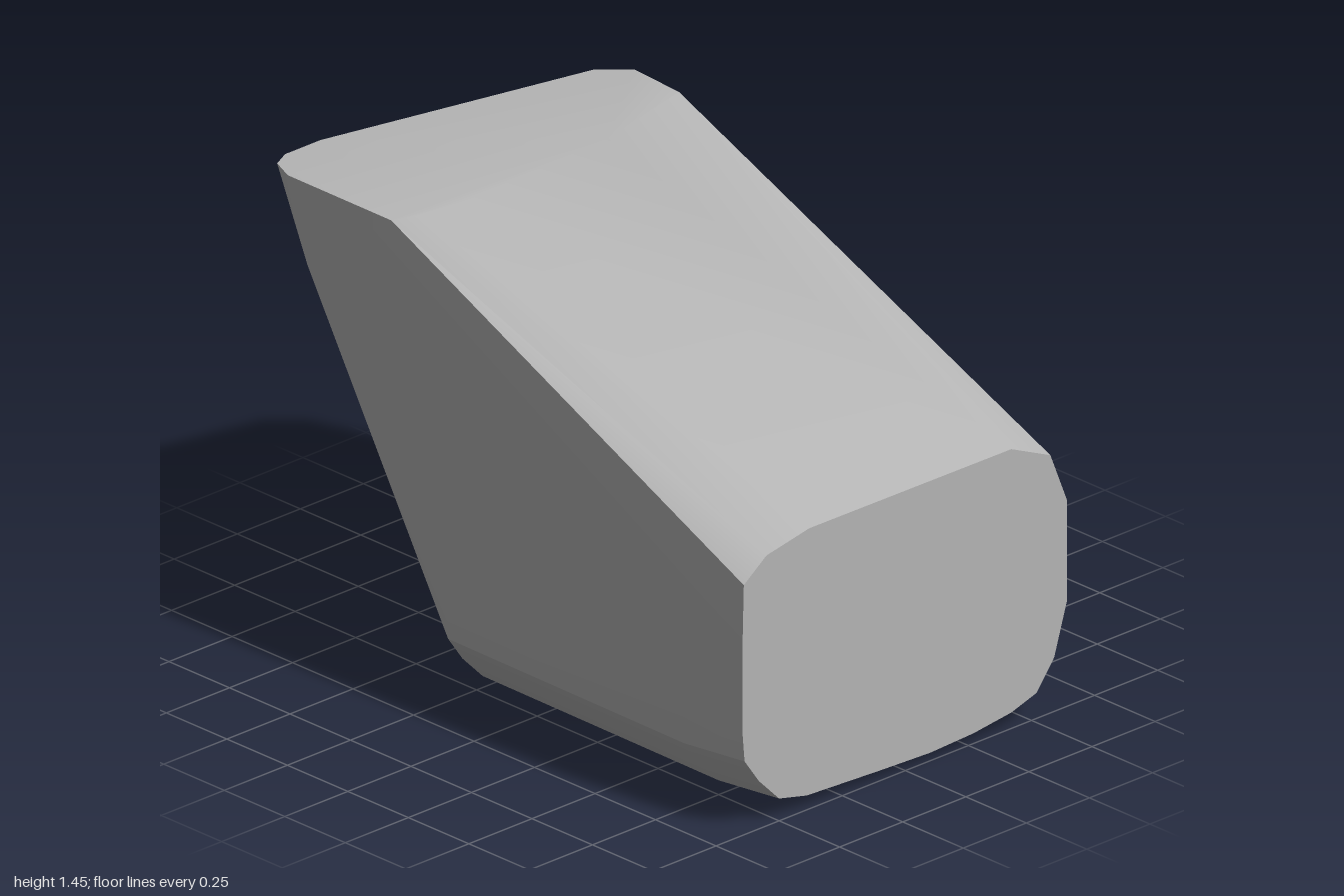
import * as THREE from 'three';
import { ConvexGeometry } from 'three/addons/geometries/ConvexGeometry.js';
import { toCreasedNormals } from 'three/addons/utils/BufferGeometryUtils.js';

export function createModel() {
  const group = new THREE.Group();
  group.name = 'facetedBlock';
  const grey = new THREE.MeshStandardMaterial({ color: 0xb4b4b4 });
  grey.name = 'plainGrey';
  const points = [];
  const add = (x, y, z) => points.push(new THREE.Vector3(x, y, z));

  // Rounded underside as [z, y], repeated along the body
  const under = [
    [0.645, 0.32], [0.637, 0.23], [0.58, 0.15], [0.5, 0.07], [0.39, 0.045], [0.1, 0.032],
    [-0.1, 0.025], [-0.27, 0.032], [-0.42, 0.05], [-0.52, 0.08], [-0.59, 0.17], [-0.64, 0.33],
  ];
  for (const [x, drop] of [[-0.225, 0.018], [0.75, 0.025], [1, 0]]) {
    for (const [z, y] of under) add(x, y - drop, z);
  }

  // Upper rim of the flat end, as [z, y]
  for (const [z, y] of [
    [0.645, 0.6], [0.64, 0.785], [0.55, 0.85], [0.38, 0.882],
    [-0.42, 0.878], [-0.575, 0.81], [-0.64, 0.65],
  ]) add(1, y, z);

  // Flat top outline, as [x, z]
  for (const [x, z] of [
    [-1, 0.4], [-1, 0.54], [-0.97, 0.6], [-0.89, 0.635], [-0.46, 0.637], [-0.43, 0.55],
    [-0.41, 0.38], [-0.44, -0.2], [-0.53, -0.57], [-0.73, -0.585], [-0.81, -0.5],
  ]) add(x, 1.45, z);

  // Corners of the overhanging nose
  add(-0.8, 1.2, 0.643);
  add(-1, 0.97, -0.43);
  add(-0.93, 0.95, -0.575);
  add(-0.71, 1.12, -0.645);

  const body = new THREE.Mesh(toCreasedNormals(new ConvexGeometry(points), THREE.MathUtils.degToRad(30)), grey);
  body.name = 'body';
  group.add(body);
  return group;
}
